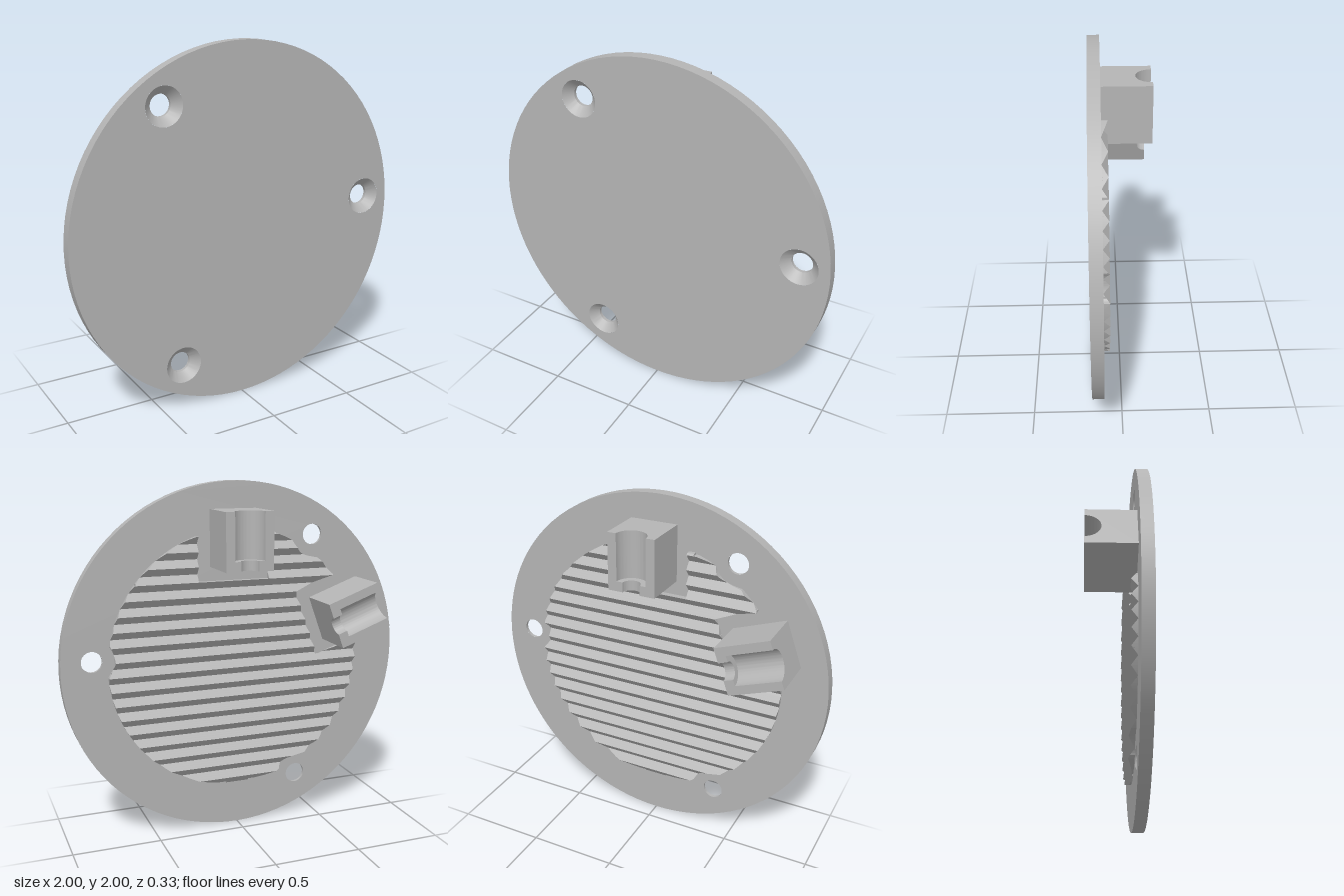
import * as THREE from 'three';
import { toCreasedNormals } from 'three/addons/utils/BufferGeometryUtils.js';

const FRONT = 0.165, BACK = 0.1;          // z of the plate faces
const HOLE_R = 0.058, SINK_R = 0.105;     // screw hole and countersink
const TURN = THREE.MathUtils.degToRad(70); // angle between the two cable blocks
const HOLES = [3.6, 123.6, 243.3].map(d => {
  const a = THREE.MathUtils.degToRad(d);
  return [0.833 * Math.cos(a), 0.833 * Math.sin(a)];
});

// Flat disc face with three round holes
function discFace(holeRadius) {
  const shape = new THREE.Shape().absarc(0, 0, 1, 0, Math.PI * 2);
  for (const [x, y] of HOLES) shape.holes.push(new THREE.Path().absarc(x, y, holeRadius, 0, Math.PI * 2, true));
  return new THREE.ShapeGeometry(shape, 48);
}

// Block section with a half-round channel, extruded along y
function channelPiece(radius, y0, length) {
  const w = 0.135, d = 0.265;
  const s = new THREE.Shape();
  s.moveTo(-w, 0);
  s.lineTo(w, 0);
  s.lineTo(w, d);
  s.lineTo(radius, d);
  s.absarc(0, d, radius, 0, Math.PI, true);
  s.lineTo(-w, d);
  s.closePath();
  const g = new THREE.ExtrudeGeometry(s, { depth: length, bevelEnabled: false, curveSegments: 20 });
  g.rotateX(-Math.PI / 2).translate(0.02, y0, BACK);
  return toCreasedNormals(g, 0.5);
}

// Ridged area: a circle without the block pads and the screw bosses
function inPad(x, y) {
  return x > -0.185 && x < 0.23 && y > 0.46;
}
function isRidged(x, y) {
  if (Math.hypot(x, y) > 0.745) return false;
  if (HOLES.some(([hx, hy]) => Math.hypot(x - hx, y - hy) < 0.125)) return false;
  const c = Math.cos(TURN), s = Math.sin(TURN);
  return !inPad(x, y) && !inPad(c * x + s * y, c * y - s * x);
}
function crossings(y) {
  const out = [], step = 0.01;
  for (let i = -80; i < 80; i++) {
    let a = i * step, b = a + step;
    const start = isRidged(a, y);
    if (start === isRidged(b, y)) continue;
    for (let k = 0; k < 14; k++) {
      const m = (a + b) / 2;
      if (isRidged(m, y) === start) a = m; else b = m;
    }
    out.push(a);
  }
  return out;
}

// Triangular ridges, made of thin prisms trimmed to the ridged area
function ridgeGeometry() {
  const pitch = 0.083, height = 0.034, rows = 8, pos = [];
  const quad = (a, b, c, d) => pos.push(...a, ...b, ...c, ...a, ...c, ...d);
  const zAt = r => BACK - height * (1 - Math.abs(r / rows * 2 - 1));
  for (let t = -9; t < 9; t++) {
    for (let r = 0; r < rows; r++) {
      const y0 = (t + r / rows) * pitch, y1 = y0 + pitch / rows;
      const z0 = zAt(r), z1 = zAt(r + 1);
      let low = crossings(y0 + 1e-4), high = crossings(y1 - 1e-4);
      if (low.length !== high.length) low = high = crossings((y0 + y1) / 2);
      for (let i = 0; i + 1 < low.length; i += 2) {
        const [a, b, c, d] = [low[i], low[i + 1], high[i + 1], high[i]];
        const A = [a, y0, z0], B = [b, y0, z0], C = [c, y1, z1], D = [d, y1, z1];
        const E = [a, y0, BACK], F = [b, y0, BACK], G = [c, y1, BACK], H = [d, y1, BACK];
        quad(A, D, C, B); // sloping face
        quad(A, E, H, D); // -x end
        quad(B, C, G, F); // +x end
        quad(A, B, F, E); // lower cut
        quad(D, H, G, C); // upper cut
      }
    }
  }
  const g = new THREE.BufferGeometry();
  g.setAttribute('position', new THREE.Float32BufferAttribute(pos, 3));
  g.computeVertexNormals();
  return g;
}

export function createModel() {
  const model = new THREE.Group();
  model.name = 'ridgedCoverPlate';
  const grey = new THREE.MeshStandardMaterial({ color: 0xb4b4b4 });
  grey.name = 'plainGrey';

  const body = new THREE.Group();
  body.name = 'body';
  body.position.y = 1;
  model.add(body);
  const add = (parent, name, geometry) => {
    const mesh = new THREE.Mesh(geometry, grey);
    mesh.name = name;
    parent.add(mesh);
    return mesh;
  };

  // Round plate
  add(body, 'plateFront', discFace(SINK_R).translate(0, 0, FRONT));
  add(body, 'plateBack', discFace(HOLE_R).rotateY(Math.PI).scale(-1, 1, 1).translate(0, 0, BACK))
    .geometry.dispose();
  const back = body.children[1];
  back.geometry = discFace(HOLE_R).translate(0, 0, BACK);
  const idx = back.geometry.index;
  for (let i = 0; i < idx.count; i += 3) { // face the other way
    const v = idx.getX(i);
    idx.setX(i, idx.getX(i + 1));
    idx.setX(i + 1, v);
  }
  back.geometry.computeVertexNormals();
  add(body, 'plateRim', new THREE.CylinderGeometry(1, 1, FRONT - BACK, 96, 1, true)
    .rotateX(Math.PI / 2).translate(0, 0, (FRONT + BACK) / 2));

  // Countersunk screw holes
  const profile = [[SINK_R, FRONT], [HOLE_R, 0.118], [HOLE_R, BACK]].map(p => new THREE.Vector2(...p));
  for (const [x, y] of HOLES) {
    const g = new THREE.LatheGeometry(profile, 40).rotateX(Math.PI / 2).translate(x, y, 0);
    add(body, 'screwHole', toCreasedNormals(g, 0.5));
  }

  // Gripping ridges on the back
  add(body, 'ridges', ridgeGeometry());

  // Two cable blocks with stepped channels
  for (const angle of [0, TURN]) {
    const block = new THREE.Group();
    block.name = 'cableBlock';
    block.rotation.z = angle;
    add(block, 'narrowChannel', channelPiece(0.05, 0.535, 0.055));
    add(block, 'wideChannel', channelPiece(0.085, 0.59, 0.26));
    body.add(block);
  }
  return model;
}
